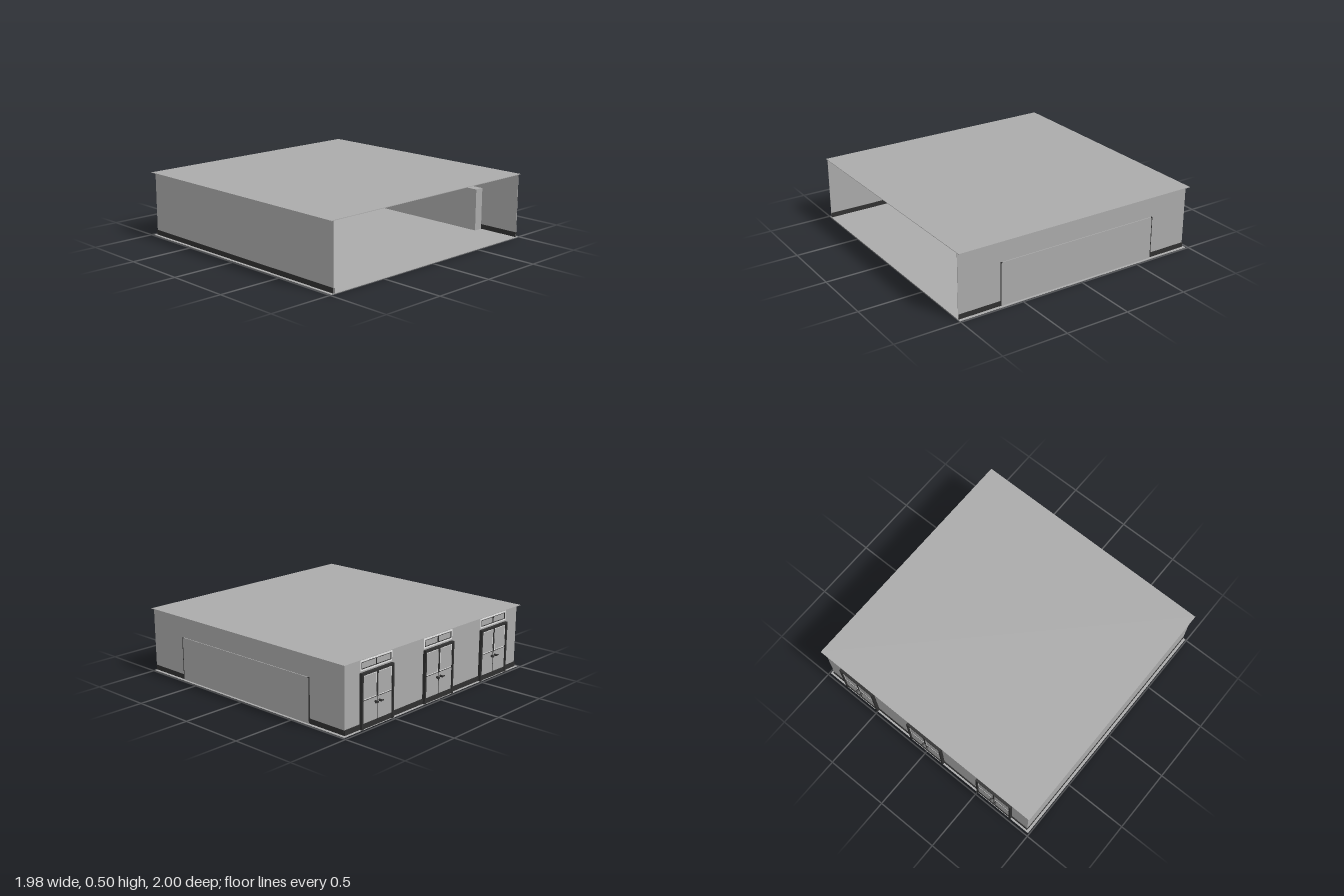
import * as THREE from 'three';

const mat = (name, color) => {
  const m = new THREE.MeshStandardMaterial({ color });
  m.name = name;
  return m;
};

export function createModel() {
  const grey = mat('plaster grey', 0xaaaaaa);
  const dark = mat('dark trim', 0x303030);
  const white = mat('white frame', 0xf0f0f0);
  const room = new THREE.Group();
  room.name = 'room';

  // Box given by its min and max corners
  const box = (parent, name, m, x0, x1, y0, y1, z0, z1) => {
    const mesh = new THREE.Mesh(new THREE.BoxGeometry(x1 - x0, y1 - y0, z1 - z0), m);
    mesh.position.set((x0 + x1) / 2, (y0 + y1) / 2, (z0 + z1) / 2);
    mesh.name = name;
    parent.add(mesh);
    return mesh;
  };
  // Four bars around a rectangle facing z
  const frame = (parent, name, m, x0, x1, y0, y1, z0, z1, t) => {
    box(parent, name, m, x0, x1, y1 - t, y1, z0, z1);
    box(parent, name, m, x0, x1, y0, y0 + t, z0, z1);
    box(parent, name, m, x0, x0 + t, y0 + t, y1 - t, z0, z1);
    box(parent, name, m, x1 - t, x1, y0 + t, y1 - t, z0, z1);
  };

  // Shell, open at the front
  box(room, 'floor', grey, -0.99, 0.99, 0, 0.004, -0.98, 1);
  box(room, 'ceiling', grey, -0.99, 0.99, 0.492, 0.496, -0.98, 1);
  box(room, 'leftWall', grey, 0.964, 0.968, 0.004, 0.492, -0.957, 1);
  box(room, 'rightWall', grey, -0.968, -0.964, 0.004, 0.492, -0.957, 1);
  box(room, 'backWall', grey, -0.968, 0.968, 0.004, 0.492, -0.96, -0.956);

  // Baseboards, showing inside and outside
  box(room, 'rightBaseboard', dark, -0.971, -0.961, 0.005, 0.042, -0.957, 0.999);
  for (const [z0, z1] of [[0.662, 0.999], [-0.957, -0.642]])
    box(room, 'leftBaseboard', dark, 0.961, 0.971, 0.005, 0.042, z0, z1);
  const xs = [-0.66, 0, 0.66];
  const edges = [-0.97, ...xs.flatMap(x => [x - 0.16, x + 0.16]), 0.97];
  for (let i = 0; i < edges.length; i += 2)
    box(room, 'backBaseboard', dark, edges[i], edges[i + 1], 0.005, 0.042, -0.966, -0.95);

  // Low cabinet set through the side wall, with dark end edges
  box(room, 'wallCabinet', grey, 0.89, 0.974, 0.003, 0.333, -0.642, 0.662);
  for (const [z, s] of [[0.664, -1], [-0.644, 1]]) {
    box(room, 'cabinetEdge', dark, 0.967, 0.9745, 0.02, 0.333, z - 0.003, z + 0.003);
    box(room, 'cabinetEdgeCap', dark, 0.967, 0.9745, 0.328, 0.334,
      Math.min(z, z + s * 0.01), Math.max(z, z + s * 0.01));
  }

  // Double door with transom window
  const makeDoor = () => {
    const door = new THREE.Group();
    door.name = 'doubleDoor';
    const z0 = -0.984, z1 = -0.948;
    box(door, 'doorJamb', dark, -0.162, -0.148, 0.004, 0.398, z0, z1);
    box(door, 'doorJamb', dark, 0.148, 0.162, 0.004, 0.398, z0, z1);
    box(door, 'doorHead', dark, -0.162, 0.162, 0.385, 0.398, z0, z1);
    box(door, 'threshold', dark, -0.148, 0.148, 0.004, 0.042, -0.976, -0.95);
    box(door, 'centreSeam', dark, -0.002, 0.002, 0.042, 0.205, -0.976, -0.95);
    box(door, 'centreStile', dark, -0.007, 0.007, 0.205, 0.385, -0.976, -0.95);
    for (const s of [-1, 1]) {
      const a = s < 0 ? -0.148 : 0.002, b = a + 0.146;
      box(door, 'doorLeaf', grey, a, b, 0.042, 0.385, -0.974, -0.952);
      const c = s * 0.0765;
      frame(door, 'windowRim', dark, c - 0.071, c + 0.071, 0.203, 0.382, -0.977, -0.949, 0.003);
      frame(door, 'windowFrame', white, c - 0.067, c + 0.067, 0.207, 0.378, -0.976, -0.95, 0.004);
      // Lever handles on both faces
      for (const [h0, h1] of [[-0.999, -0.993], [-0.936, -0.93]]) {
        box(door, 'handleLever', dark, Math.min(s * 0.012, s * 0.042), Math.max(s * 0.012, s * 0.042), 0.167, 0.174, h0, h1);
      }
      const spindle = new THREE.Mesh(new THREE.CylinderGeometry(0.008, 0.008, 0.064, 12), dark);
      spindle.name = 'handleSpindle';
      spindle.rotation.x = Math.PI / 2;
      spindle.position.set(s * 0.02, 0.17, -0.9645);
      door.add(spindle);
    }
    frame(door, 'transomFrame', white, -0.16, 0.16, 0.41, 0.483, -0.964, -0.952, 0.013);
    frame(door, 'transomRim', dark, -0.148, 0.148, 0.422, 0.471, -0.966, -0.95, 0.003);
    box(door, 'transomMullion', dark, -0.003, 0.003, 0.425, 0.468, -0.966, -0.95);
    return door;
  };
  for (const x of xs) {
    const door = makeDoor();
    door.position.x = x;
    room.add(door);
  }
  return room;
}
